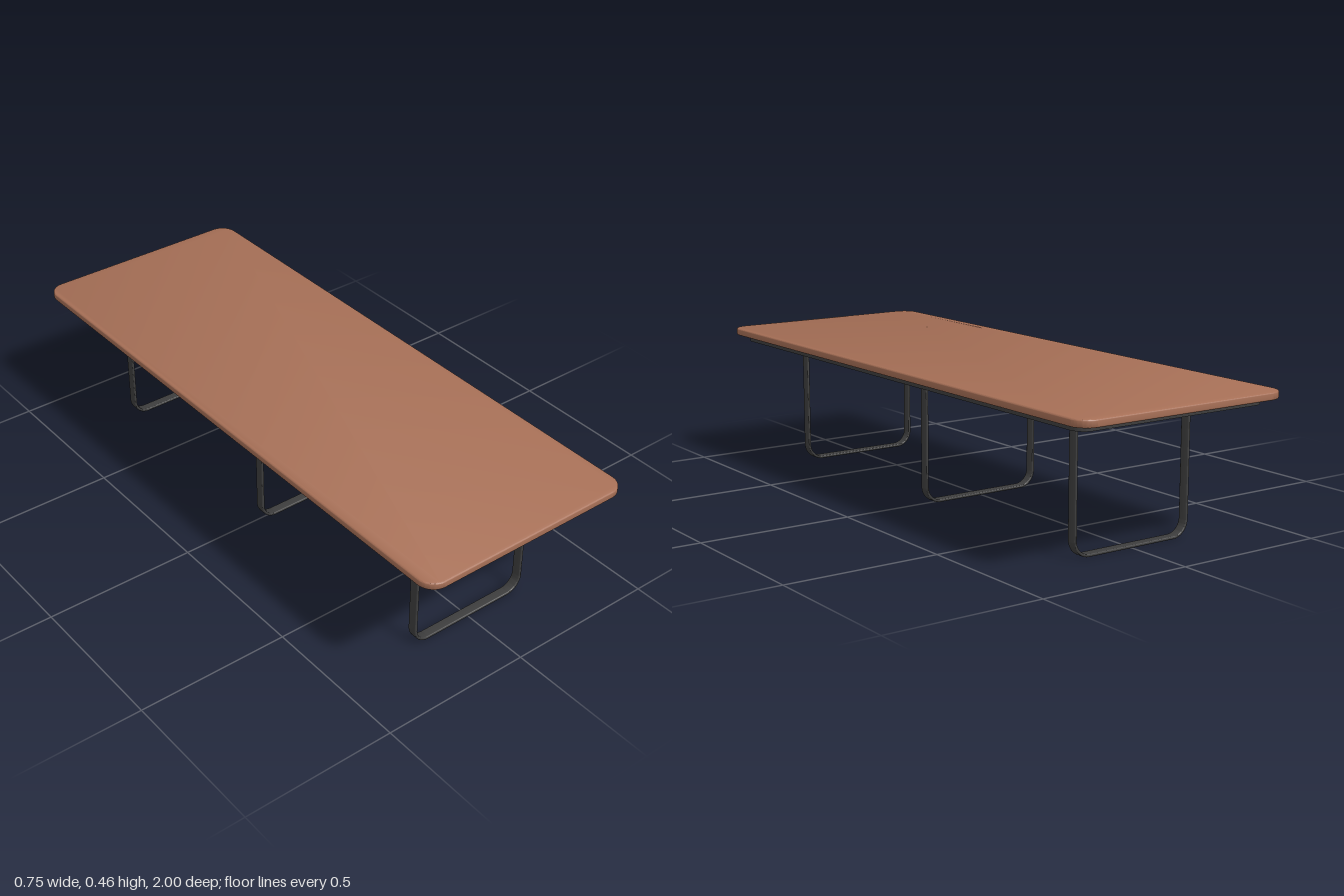
import * as THREE from 'three';
import { toCreasedNormals } from 'three/addons/utils/BufferGeometryUtils.js';

const LEG_TOP = 0.438, FRAME_BOTTOM = 0.417, TOP_BOTTOM = 0.437, TOP_HEIGHT = 0.024;

// Rounded rectangle centred on the origin, drawn into a Shape or Path
function roundedRect(path, hw, hh, r) {
  path.moveTo(hw, -hh + r);
  path.lineTo(hw, hh - r);
  path.absarc(hw - r, hh - r, r, 0, Math.PI / 2);
  path.lineTo(-hw + r, hh);
  path.absarc(-hw + r, hh - r, r, Math.PI / 2, Math.PI);
  path.lineTo(-hw, -hh + r);
  path.absarc(-hw + r, -hh + r, r, Math.PI, Math.PI * 1.5);
  path.lineTo(hw - r, -hh);
  path.absarc(hw - r, -hh + r, r, Math.PI * 1.5, Math.PI * 2);
  return path;
}

// Extrusion of a given total depth with rounded edges kept inside the outline
function extrude(shape, depth, bevel) {
  const geo = new THREE.ExtrudeGeometry(shape, {
    depth: depth - 2 * bevel, curveSegments: 12,
    bevelEnabled: bevel > 0, bevelThickness: bevel, bevelSize: bevel,
    bevelOffset: -bevel, bevelSegments: 4,
  });
  geo.translate(0, 0, bevel);
  return toCreasedNormals(geo, 0.6);
}

// Closed outline of a U-shaped bar standing on y = 0
function legShape(hw, r, t) {
  const s = new THREE.Shape();
  const hi = hw - t, ri = r - t;
  s.moveTo(-hw, LEG_TOP);
  s.lineTo(-hw, r);
  s.absarc(-hw + r, r, r, Math.PI, Math.PI * 1.5);
  s.lineTo(hw - r, 0);
  s.absarc(hw - r, r, r, Math.PI * 1.5, Math.PI * 2);
  s.lineTo(hw, LEG_TOP);
  s.lineTo(hi, LEG_TOP);
  s.lineTo(hi, r);
  s.absarc(hi - ri, r, ri, 0, -Math.PI / 2, true);
  s.lineTo(-hi + ri, t);
  s.absarc(-hi + ri, r, ri, -Math.PI / 2, -Math.PI, true);
  s.lineTo(-hi, LEG_TOP);
  return s;
}

export function createModel() {
  const wood = new THREE.MeshStandardMaterial({ color: 0xa66f56 });
  wood.name = 'wood';
  const metal = new THREE.MeshStandardMaterial({ color: 0x3d3d3d });
  metal.name = 'dark metal';

  const model = new THREE.Group();
  model.name = 'table';
  const add = (name, geo, mat) => {
    const mesh = new THREE.Mesh(geo, mat);
    mesh.name = name;
    model.add(mesh);
    return mesh;
  };

  // Tabletop slab with softened edges
  const top = extrude(roundedRect(new THREE.Shape(), 0.375, 1, 0.055), TOP_HEIGHT, 0.005);
  add('tabletop', top.rotateX(-Math.PI / 2).translate(0, TOP_BOTTOM, 0), wood);

  // Thin rim frame under the tabletop
  const rim = roundedRect(new THREE.Shape(), 0.343, 0.952, 0.045);
  rim.holes.push(roundedRect(new THREE.Path(), 0.328, 0.937, 0.03));
  const frame = extrude(rim, TOP_BOTTOM - FRAME_BOTTOM, 0);
  add('underFrame', frame.rotateX(-Math.PI / 2).translate(0, FRAME_BOTTOM, 0), metal);

  // Three bent flat-bar legs along the length
  const legWidth = 0.033;
  const leg = extrude(legShape(0.215, 0.055, 0.0095), legWidth, 0.004);
  leg.translate(0, 0, -legWidth / 2);
  [['frontLeg', 0.757], ['middleLeg', 0], ['backLeg', -0.757]].forEach(([name, z]) => {
    add(name, leg, metal).position.z = z;
  });

  return model;
}
